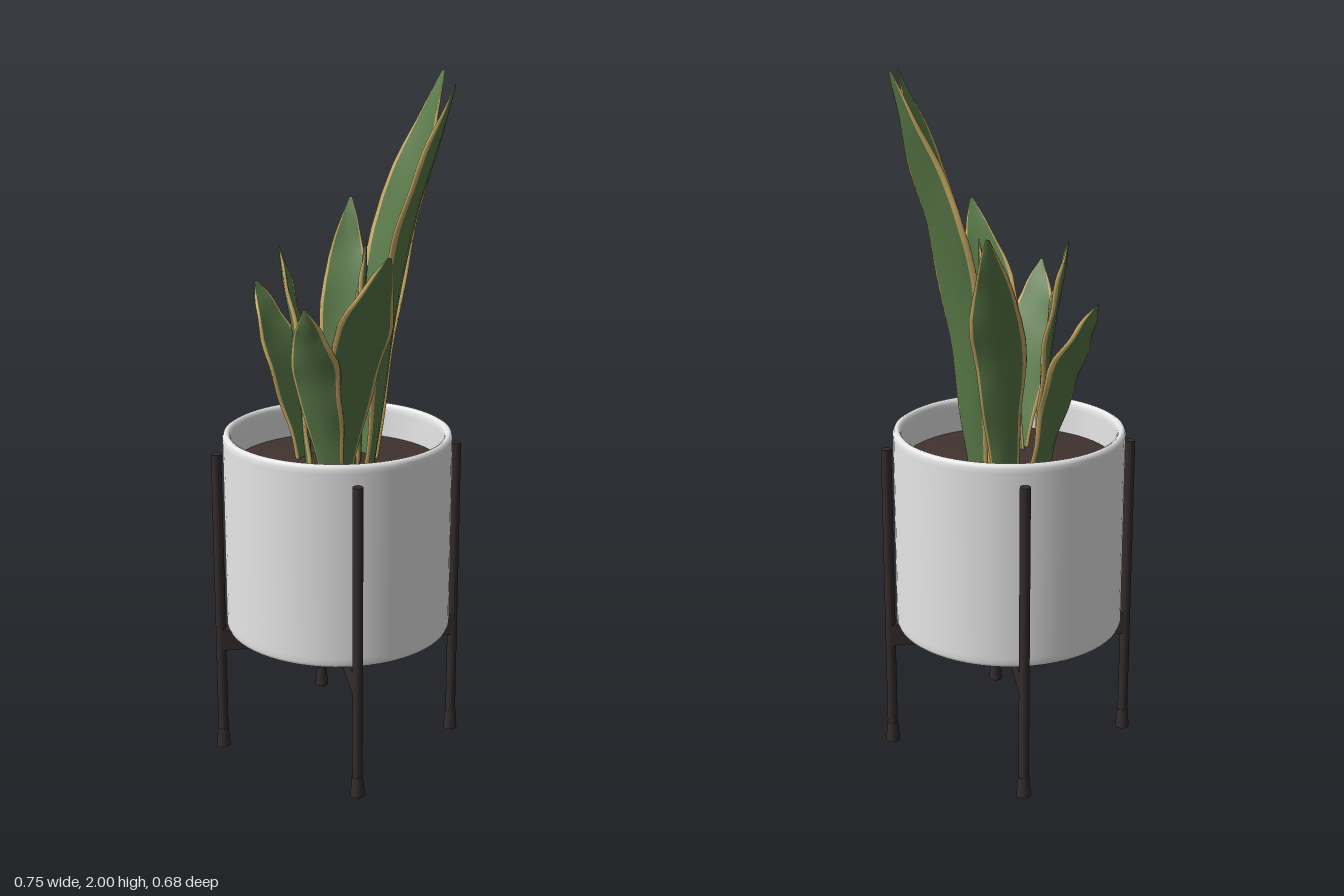
import * as THREE from 'three';

const mat = (name, color, extra = {}) => {
  const m = new THREE.MeshStandardMaterial({ color, ...extra });
  m.name = name;
  return m;
};

// Closed leaf blade: a thin lens section swept along a curve, with a pale margin on both edges.
function leafGeometry(base, mid, tip, acrossX, acrossZ, width, seed) {
  const v = (p) => new THREE.Vector3(...p);
  const curve = new THREE.CatmullRomCurve3([v(base), v(mid), v(tip)]);
  const across = new THREE.Vector3(acrossX, 0, acrossZ).normalize();
  const chord = v(tip).sub(v(base)).normalize();
  if (across.clone().cross(chord).y < 0) across.negate();

  const profile = [0.52, 0.58, 0.66, 0.76, 0.88, 0.97, 1, 0.95, 0.8, 0.58, 0.34, 0.06];
  const us = [-1, -0.86, -0.45, 0, 0.45, 0.86, 1];
  const loop = [...us.map((u) => [u, 1]), ...us.slice().reverse().map((u) => [u, -1])];
  const rows = 33, n = loop.length;
  const positions = [], blade = [], margin = [];

  for (let i = 0; i <= rows; i++) {
    const t = i / rows;
    const c = curve.getPoint(t);
    const normal = across.clone().cross(curve.getTangent(t)).normalize();
    const k = t * (profile.length - 1), k0 = Math.min(Math.floor(k), profile.length - 2);
    const w = (width / 2) * THREE.MathUtils.lerp(profile[k0], profile[k0 + 1], k - k0);
    const thin = Math.min(1, (w / width) * 4);
    for (const [u, side] of loop) {
      const ripple = 0.004 * u * u * Math.sin(t * 21 + seed * 2 + u * 1.5) * thin;
      const wobble = 1 + 0.035 * Math.sin(t * 17 + seed + u * 2);
      const lift = 0.16 * w * u * u + ripple + side * thin * (0.004 + 0.004 * (1 - u * u));
      const p = c.clone().addScaledVector(across, u * w * wobble).addScaledVector(normal, lift);
      positions.push(p.x, p.y, p.z);
    }
  }
  for (let j = 0; j < n; j++) {
    const j1 = (j + 1) % n;
    const isMargin = Math.abs(loop[j][0] + loop[j1][0]) > 1.8 || loop[j][1] !== loop[j1][1];
    const list = isMargin ? margin : blade;
    for (let i = 0; i < rows; i++) {
      const a = i * n + j, b = i * n + j1;
      list.push(a, b, b + n, a, b + n, a + n);
    }
  }
  const g = new THREE.BufferGeometry();
  g.setAttribute('position', new THREE.Float32BufferAttribute(positions, 3));
  g.setIndex([...blade, ...margin]);
  g.addGroup(0, blade.length, 0);
  g.addGroup(blade.length, margin.length, 1);
  g.computeVertexNormals();
  return g;
}

export function createModel() {
  const model = new THREE.Group();
  model.name = 'pottedPlant';
  const white = mat('white ceramic', 0xe8e8e8);
  const metal = mat('dark metal', 0x352c2c);
  const earth = mat('soil brown', 0x40322f);
  const green = mat('leaf green', 0x5a7a48, { side: THREE.DoubleSide });
  const yellow = mat('leaf margin yellow', 0xc9ac66, { side: THREE.DoubleSide });

  const add = (parent, name, geometry, material, x = 0, y = 0, z = 0) => {
    const mesh = new THREE.Mesh(geometry, material);
    mesh.name = name;
    mesh.position.set(x, y, z);
    parent.add(mesh);
    return mesh;
  };
  const lathe = (pts) => new THREE.LatheGeometry(pts.map((p) => new THREE.Vector2(...p)), 64);

  // Pot and stand share one axis
  const planter = new THREE.Group();
  planter.name = 'planter';
  planter.position.set(-0.0425, 0, 0.005);
  model.add(planter);

  // Pot with a rounded rim, hollow down to below the soil
  add(planter, 'pot', lathe([
    [0, 0.388], [0.318, 0.388], [0.324, 0.389], [0.332, 0.394], [0.335, 0.403], [0.335, 0.42],
    [0.335, 0.965], [0.335, 0.978], [0.331, 0.987], [0.323, 0.991], [0.315, 0.987],
    [0.311, 0.978], [0.31, 0.965], [0.31, 0.85],
  ]), white);
  add(planter, 'soil', lathe([[0.311, 0.886], [0.2, 0.892], [0.1, 0.897], [0, 0.898]]), earth);

  // Four legs with feet, joined in opposite pairs by crossed bars
  const stand = new THREE.Group();
  stand.name = 'stand';
  planter.add(stand);
  const legRadius = 0.355, firstAngle = Math.atan2(0.293, 0.2);
  for (let i = 0; i < 4; i++) {
    const a = firstAngle + (i * Math.PI) / 2;
    const x = Math.cos(a) * legRadius, z = -Math.sin(a) * legRadius;
    add(stand, 'leg', new THREE.CylinderGeometry(0.015, 0.015, 0.925, 20), metal, x, 0.4725, z);
    add(stand, 'foot', new THREE.CylinderGeometry(0.016, 0.021, 0.06, 20), metal, x, 0.03, z);
    if (i < 2) {
      const bar = add(stand, 'crossbar', new THREE.BoxGeometry(legRadius * 2, 0.066, 0.03), metal, 0, 0.354, 0);
      bar.rotation.y = a;
    }
  }

  // Leaves: base, middle, tip, direction across the blade (x, z), width
  const leaves = [
    [[-0.03, 0.86, -0.105], [-0.02, 1.5, -0.195], [0.035, 2, -0.338], 1, 0.05, 0.18],
    [[0.04, 0.86, -0.045], [0.135, 1.55, -0.09], [0.262, 1.98, -0.14], 0.5, 0.85, 0.19],
    [[-0.11, 0.86, -0.07], [-0.215, 1.28, -0.185], [-0.315, 1.61, -0.308], 0.7, -0.7, 0.145],
    [[-0.14, 0.86, 0.035], [-0.235, 1.17, 0.045], [-0.347, 1.395, 0.05], 0.15, 1, 0.155],
    [[-0.085, 0.86, 0.08], [-0.115, 1.24, 0.095], [-0.15, 1.53, 0.128], 0.7, 0.7, 0.185],
    [[0.03, 0.86, 0.09], [0.065, 1.19, 0.19], [0.13, 1.415, 0.285], 0.92, -0.3, 0.15],
    [[0, 0.86, 0.045], [0.17, 1.27, 0.125], [0.373, 1.575, 0.215], 0.45, -0.9, 0.16],
    [[-0.005, 0.86, -0.045], [-0.015, 1.25, -0.06], [-0.012, 1.54, -0.08], 0.72, 0.69, 0.18],
  ];
  const plant = new THREE.Group();
  plant.name = 'plant';
  model.add(plant);
  leaves.forEach((leaf, i) => add(plant, 'leaf', leafGeometry(...leaf, i), [green, yellow]));

  return model;
}
